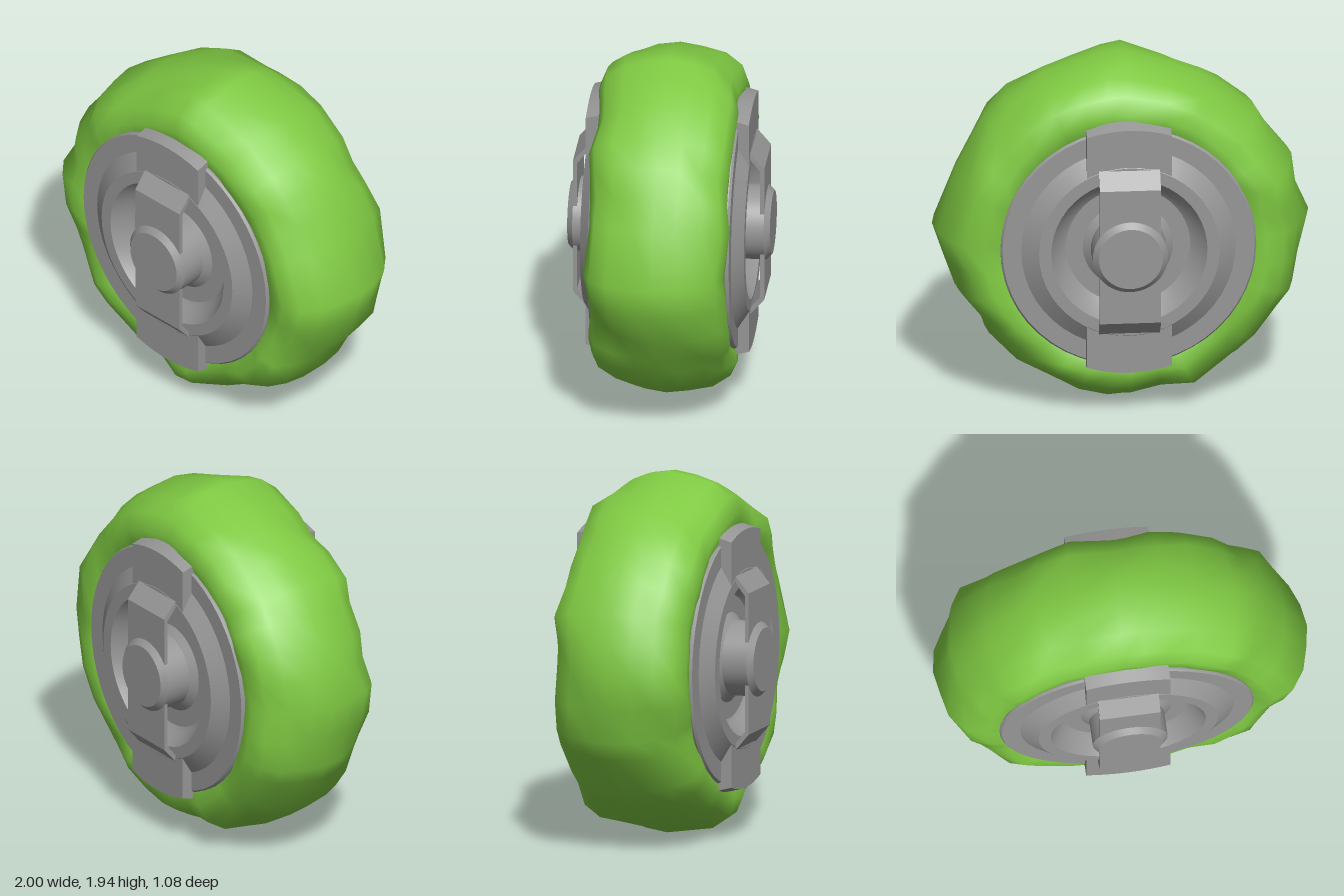
import * as THREE from 'three';
import { toCreasedNormals } from 'three/addons/utils/BufferGeometryUtils.js';

const CY = 0.97; // axle height

// Lumpy tyre: one cross-section per outline point, swept around the axle
function tyreGeometry() {
  const outline = [
    [1, 0.99], [0.88, 1.29], [0.8, 1.45], [0.72, 1.59], [0.61, 1.7], [0.42, 1.83], [0.25, 1.885],
    [0.09, 1.94], [-0.02, 1.95], [-0.26, 1.87], [-0.44, 1.8], [-0.56, 1.72], [-0.72, 1.6],
    [-0.79, 1.48], [-0.91, 1.33], [-0.93, 1.17], [-1, 1.01], [-0.95, 0.81], [-0.92, 0.63],
    [-0.86, 0.53], [-0.72, 0.33], [-0.62, 0.24], [-0.39, 0.1], [-0.21, 0.07], [-0.04, 0.01],
    [0.09, 0.02], [0.25, 0.07], [0.4, 0.16], [0.57, 0.23], [0.72, 0.39], [0.75, 0.48],
    [0.88, 0.64], [0.94, 0.81],
  ];
  // fraction from inner edge to tread, and half width there
  const half = [[0, 0.28], [0.13, 0.357], [0.42, 0.37], [0.67, 0.335], [0.85, 0.24], [0.95, 0.12]];
  const profile = [...half, [1, 0], ...half.slice().reverse().map(([t, z]) => [t, -z])];
  const inner = 0.6, n = outline.length, m = profile.length;
  const pos = [], index = [];
  outline.forEach(([x, y], i) => {
    const a = Math.atan2(y - CY, x), R = Math.hypot(x, y - CY);
    profile.forEach(([t, z], j) => {
      const side = Math.sign(z);
      const lump = t > 0.2 && t < 0.9 ? 0.012 * Math.sin(8 * a + side * 1.3) + 0.006 * Math.sin(13 * a + j) : 0;
      const r = inner + (R - inner) * t + (t < 1 ? lump : 0);
      pos.push(r * Math.cos(a), CY + r * Math.sin(a), z + side * lump);
    });
    const k = (i + 1) % n;
    for (let j = 0; j < m - 1; j++) {
      const p = i * m + j, q = k * m + j;
      index.push(p, p + 1, q, p + 1, q + 1, q);
    }
  });
  const g = new THREE.BufferGeometry();
  g.setAttribute('position', new THREE.Float32BufferAttribute(pos, 3));
  g.setIndex(index);
  g.computeVertexNormals();
  return g;
}

// Turned part around the z axis, from [radius, z] pairs
function turned(points) {
  const g = new THREE.LatheGeometry(points.map(([r, z]) => new THREE.Vector2(r, z)), 48);
  g.rotateX(Math.PI / 2);
  return toCreasedNormals(g, 0.4);
}

// Curved clamp plate with a sloped outer edge
function clampGeometry() {
  const w = 0.225, shape = new THREE.Shape();
  const arc = (r, from, to) => {
    for (let i = 0; i <= 8; i++) {
      const x = from + (to - from) * i / 8, y = Math.sqrt(r * r - x * x);
      if (i === 0 && r < 0.6) shape.moveTo(x, y); else shape.lineTo(x, y);
    }
  };
  arc(0.48, -w, w);
  arc(0.73, w, -w);
  const g = new THREE.ExtrudeGeometry(shape, { depth: 0.13, bevelEnabled: false });
  g.translate(0, 0, 0.305);
  const p = g.attributes.position;
  for (let i = 0; i < p.count; i++) {
    if (p.getZ(i) > 0.4 && Math.hypot(p.getX(i), p.getY(i)) > 0.6) p.setY(i, p.getY(i) - 0.035);
  }
  return toCreasedNormals(g, 0.4);
}

// Bent strap bridging the recess, drawn in the side plane and extruded across
function strapGeometry() {
  const outer = [[-0.48, 0.425], [-0.38, 0.51], [0.38, 0.51], [0.48, 0.425]];
  const innerEdge = [[0.445, 0.425], [0.365, 0.488], [-0.365, 0.488], [-0.445, 0.425]];
  const shape = new THREE.Shape([...outer, ...innerEdge].map(([y, z]) => new THREE.Vector2(-z, y)));
  const g = new THREE.ExtrudeGeometry(shape, { depth: 0.325, bevelEnabled: false });
  g.translate(0, 0, -0.1625);
  g.rotateY(Math.PI / 2); // shape -x becomes +z
  return toCreasedNormals(g, 0.4);
}

export function createModel() {
  const model = new THREE.Group();
  model.name = 'wheel';
  const green = new THREE.MeshStandardMaterial({ color: 0x7fc942 });
  green.name = 'green';
  const grey = new THREE.MeshStandardMaterial({ color: 0x969696 });
  grey.name = 'grey';
  const add = (parent, name, geometry, material) => {
    const mesh = new THREE.Mesh(geometry, material);
    mesh.name = name;
    parent.add(mesh);
    return mesh;
  };

  add(model, 'tyre', tyreGeometry(), green);

  const rim = turned([[0.68, 0.2], [0.68, 0.365], [0.67, 0.377], [0.57, 0.377], [0.48, 0.437],
    [0.415, 0.437], [0.36, 0.36], [0.33, 0.34], [0.24, 0.34], [0.19, 0.38], [0, 0.38]]);
  const cap = turned([[0.2, 0.34], [0.2, 0.51], [0.17, 0.54], [0, 0.54]]);
  const clamp = clampGeometry(), strap = strapGeometry();

  // Same hub on both faces of the wheel
  for (const [name, turn] of [['frontHub', 0], ['backHub', Math.PI]]) {
    const hub = new THREE.Group();
    hub.name = name;
    hub.position.set(-0.015, CY, 0);
    hub.rotation.y = turn;
    add(hub, 'rimDisc', rim, grey);
    add(hub, 'hubCap', cap, grey);
    add(hub, 'strap', strap, grey);
    add(hub, 'upperClamp', clamp, grey);
    add(hub, 'lowerClamp', clamp, grey).rotation.z = Math.PI;
    model.add(hub);
  }
  return model;
}
